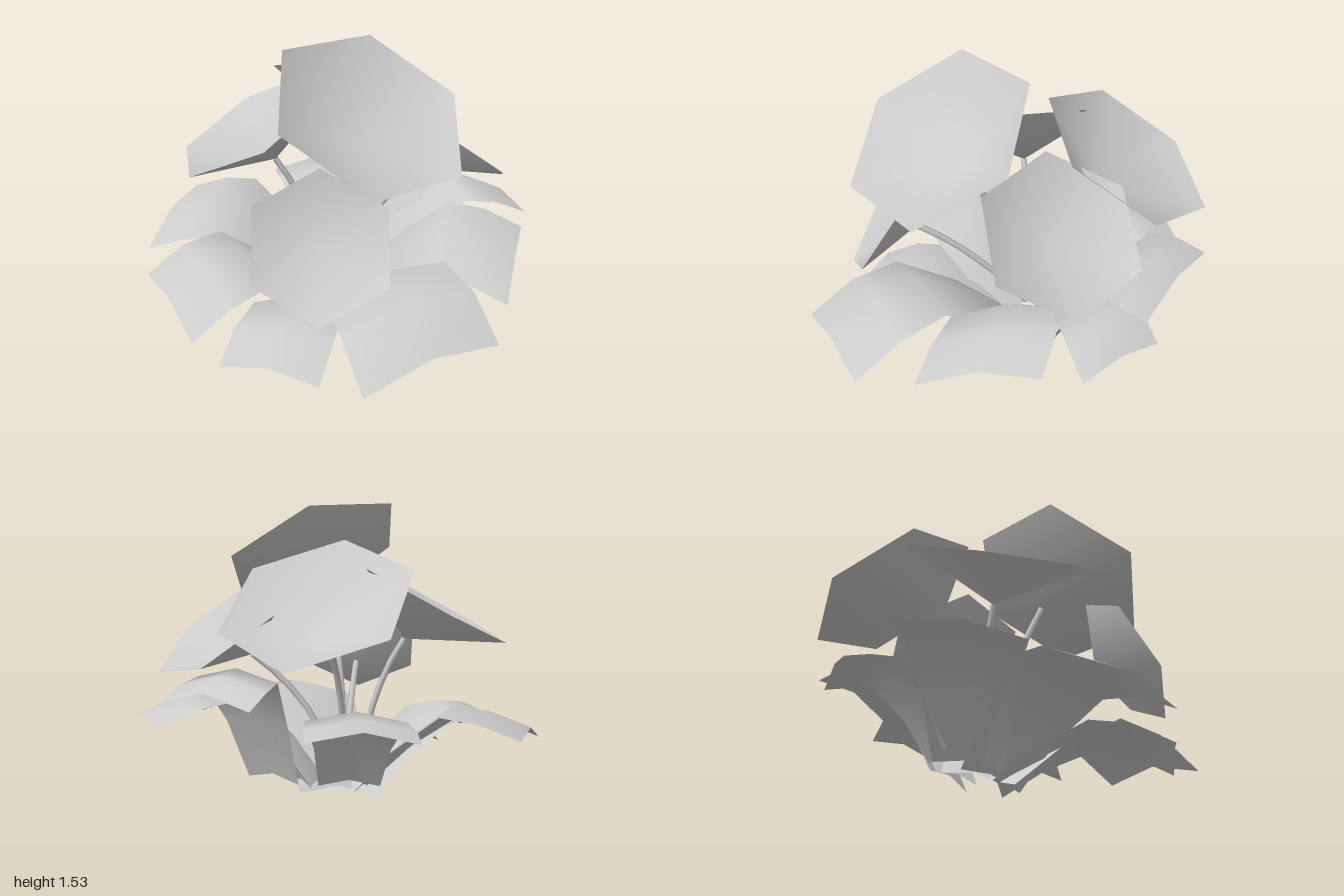
import * as THREE from 'three';

const V = (a) => new THREE.Vector3(...a);
const material = new THREE.MeshStandardMaterial({ color: 0xcccccc, side: THREE.DoubleSide });

function smoothMesh(points, index, name) {
  const geo = new THREE.BufferGeometry().setFromPoints(points);
  geo.setIndex(index);
  geo.computeVertexNormals();
  const mesh = new THREE.Mesh(geo, material);
  mesh.name = name;
  return mesh;
}

// Six-sided shallow cup: rim centre plus two neighbouring rim spokes
function blossom(c, u, v) {
  const normal = new THREE.Vector3().crossVectors(u, v).normalize();
  if (normal.y < 0) {
    [u, v] = [v, u];
    normal.negate();
  }
  const w = v.clone().sub(u);
  const spokes = [u, v, w, u.clone().negate(), v.clone().negate(), w.clone().negate()];
  const apex = c.clone().addScaledVector(normal, -u.length() / 2);
  const points = [apex, ...spokes.map((s) => s.clone().add(c))];
  const index = [];
  for (let i = 0; i < 6; i++) index.push(0, 1 + i, 1 + ((i + 1) % 6));
  return { mesh: smoothMesh(points, index, 'blossom'), apex };
}

// Thin bent stem from the root to the cup's apex
function stem(root, bend, apex) {
  const curve = new THREE.QuadraticBezierCurve3(root, bend, apex);
  const mesh = new THREE.Mesh(new THREE.TubeGeometry(curve, 6, 0.017, 5), material);
  mesh.name = 'stem';
  return mesh;
}

// Arching leaf with a raised midrib, widening from the root to a blunt tip
const LEAF_ROWS = [ // distance along, width
  [0, 0.6], [0.25, 0.72], [0.54, 0.92], [0.77, 1], [1, 1],
];
function leaf(root, a, b, crest) {
  const tip = a.clone().add(b).multiplyScalar(0.5);
  const half = b.clone().sub(a).multiplyScalar(0.5);
  const lift = half.length() * 0.2;
  const rootY = root.y + lift * 0.6;
  const tipY = tip.y + lift;
  const heights = [
    rootY, rootY + 0.55 * (crest - rootY), crest, crest - 0.22 * (crest - tipY), tipY,
  ];
  const points = [], index = [];
  LEAF_ROWS.forEach(([f, w], i) => {
    const mid = root.clone().lerp(tip, f);
    mid.y = heights[i];
    for (const s of [-1, 0, 1]) {
      const p = mid.clone().addScaledVector(half, s * w);
      if (s) p.y -= lift * w;
      points.push(p);
    }
    if (i) {
      for (let j = 0; j < 2; j++) {
        const k = (i - 1) * 3 + j;
        index.push(k, k + 1, k + 3, k + 1, k + 4, k + 3);
      }
    }
  });
  return smoothMesh(points, index, 'leaf');
}

export function createModel() {
  const plant = new THREE.Group();
  plant.name = 'floweringPlant';

  // Blossoms: rim centre, two rim spokes, stem root, stem bend
  const blossoms = [
    [[0.275, 1.282, 0.29], [-0.115, 0.255, -0.415], [0.318, -0.005, -0.4], [-0.01, 0.16, -0.1], [0, 0.55, -0.02]],
    [[0.125, 0.737, 0.63], [-0.055, 0.308, -0.19], [0.28, 0.16, -0.16], [0, 0.16, -0.09], [0.04, 0.5, 0.2]],
    [[-0.03, 1.12, -0.58], [-0.01, 0.255, 0.4], [-0.41, 0.135, 0.18], [-0.02, 0.16, -0.14], [-0.02, 0.6, -0.1]],
    [[0.515, 0.97, -0.345], [-0.025, -0.165, -0.37], [0.315, -0.245, -0.135], [0.03, 0.16, -0.16], [0.07, 0.52, -0.14]],
    [[-0.405, 1.075, 0.027], [-0.41, -0.195, -0.055], [-0.205, -0.175, 0.37], [-0.1, 0.16, -0.13], [-0.13, 0.6, -0.09]],
  ];
  for (const [c, u, v, root, bend] of blossoms) {
    const flower = new THREE.Group();
    flower.name = 'flower';
    const { mesh, apex } = blossom(V(c), V(u), V(v));
    flower.add(mesh, stem(V(root), V(bend), apex));
    plant.add(flower);
  }

  // Leaves: root, two tip corners and crest height, around the plant
  const leaves = [
    [[-0.03, 0.02, -0.02], [-0.325, 0.125, 0.815], [0.18, 0.125, 0.84], 0.31],
    [[0.035, 0.04, -0.06], [0.425, 0.22, 0.99], [0.955, 0.31, 0.55], 0.53],
    [[0.1, 0.11, -0.15], [0.96, 0.35, 0.255], [0.96, 0.495, -0.335], 0.57],
    [[0.17, 0.14, -0.25], [0.96, 0.5, -0.52], [0.66, 0.53, -0.82], 0.66],
    [[0.3, 0.165, -0.31], [0.67, 0.65, -0.76], [0.13, 0.695, -1.0], 0.8],
    [[-0.1, 0.17, -0.3], [-0.08, 0.55, -0.9], [-0.545, 0.52, -0.675], 0.62],
    [[-0.13, 0.1, -0.15], [-0.94, 0.485, -0.385], [-0.97, 0.36, 0.2], 0.57],
    [[-0.06, 0.05, -0.05], [-0.885, 0.315, 0.395], [-0.455, 0.235, 0.82], 0.49],
  ];
  for (const [root, a, b, crest] of leaves) plant.add(leaf(V(root), V(a), V(b), crest));
  return plant;
}
